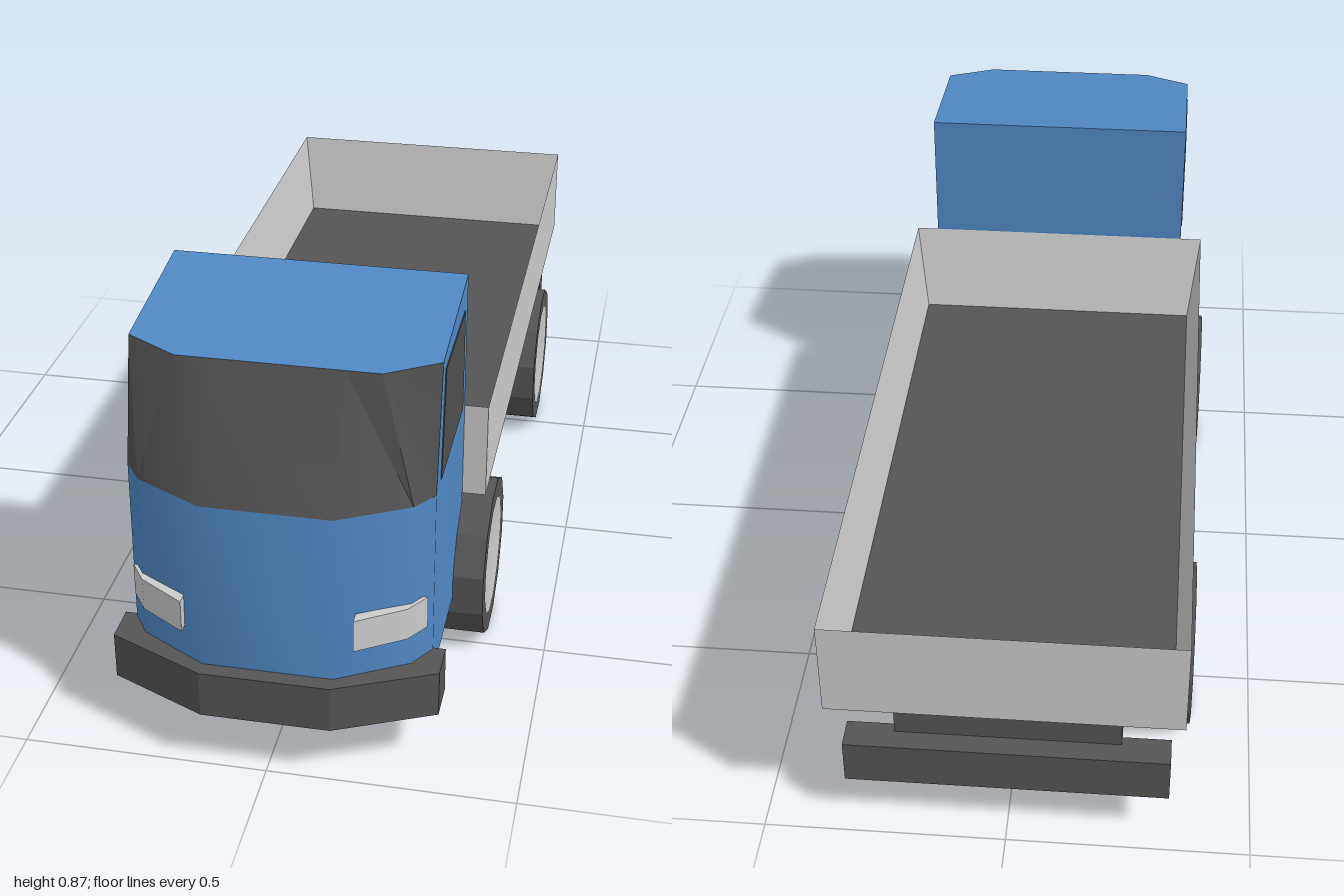
import * as THREE from 'three';
import { toCreasedNormals } from 'three/addons/utils/BufferGeometryUtils.js';

const paint = (color) => new THREE.MeshStandardMaterial({ color });
const blue = paint(0x5088c4), dark = paint(0x555555), glass = paint(0x505050), grey = paint(0xcccccc);

// Geometry from a list of triangles, with soft edges below the crease angle.
function fromTriangles(tris, crease = 0.7) {
  const g = new THREE.BufferGeometry();
  g.setAttribute('position', new THREE.Float32BufferAttribute(tris.flat(2), 3));
  return toCreasedNormals(g, crease);
}

// Wall between two rings; skip(i) leaves out a segment.
function wall(low, high, keep = () => true) {
  const tris = [];
  low.forEach((a, i) => {
    const j = (i + 1) % low.length;
    if (keep(i)) tris.push([a, low[j], high[i]], [low[j], high[j], high[i]]);
  });
  return tris;
}

// Fan cap facing up; flip it to face down.
function cap(ring, flip = false) {
  const tris = [];
  for (let i = 1; i < ring.length - 1; i++) {
    tris.push(flip ? [ring[0], ring[i + 1], ring[i]] : [ring[0], ring[i], ring[i + 1]]);
  }
  return tris;
}

// Full plan outline from its +x half, listed front to back; y is a number or a rule of z.
function ring(half, y) {
  const at = typeof y === 'function' ? y : () => y;
  const left = half.map(([x, z]) => [x, at(z), z]);
  const right = [...half].reverse().map(([x, z]) => [-x, at(z), z]);
  return [...right, ...left];
}

function add(parent, name, geometry, material, x = 0, y = 0, z = 0) {
  const mesh = new THREE.Mesh(geometry, material);
  mesh.name = name;
  mesh.position.set(x, y, z);
  parent.add(mesh);
  return mesh;
}

// Upright prism from a plan outline.
function prism(outline, y0, y1, crease = 0.3) {
  const low = outline.map(([x, z]) => [x, y0, z]);
  const high = outline.map(([x, z]) => [x, y1, z]);
  return fromTriangles([...wall(low, high), ...cap(high), ...cap(low, true)], crease);
}

function createCab() {
  const cab = new THREE.Group();
  cab.name = 'cab';
  const base = ring([[0.13, 0.97], [0.27, 0.89], [0.305, 0.835], [0.305, 0.455]], 0.16);
  const belt = ring([[0.13, 0.955], [0.27, 0.88], [0.305, 0.83], [0.305, 0.455]], 0.575);
  const roof = ring([[0.13, 0.83], [0.2, 0.83], [0.305, 0.775], [0.305, 0.455]],
    (z) => 0.825 + (0.83 - z) * 0.107);
  const isGlass = (i) => i >= 1 && i <= 5;

  add(cab, 'cabBody', fromTriangles([...wall(base, belt), ...cap(base, true)]), blue);
  add(cab, 'cabTop', fromTriangles([...wall(belt, roof, (i) => !isGlass(i)), ...cap(roof)]), blue);
  add(cab, 'windscreen', fromTriangles(wall(belt, roof, isGlass), 0.5), glass);

  // Side windows, a thin pane on each door
  const pane = new THREE.Shape([[0.78, 0.58], [0.745, 0.803], [0.495, 0.803], [0.495, 0.58]]
    .map(([z, y]) => new THREE.Vector2(-z, y)));
  const paneGeometry = new THREE.ExtrudeGeometry(pane, { depth: 0.006, bevelEnabled: false });
  paneGeometry.rotateY(Math.PI / 2);
  for (const side of [-1, 1]) {
    add(cab, side > 0 ? 'leftWindow' : 'rightWindow', paneGeometry, glass, side * 0.304 - 0.003);
  }

  // Headlights wrapping round the front corners
  const lamp = [[0.17, 0.966], [0.265, 0.906], [0.297, 0.858], [0.25, 0.86], [0.17, 0.92]];
  add(cab, 'leftHeadlight', prism(lamp, 0.29, 0.36, 0.7), grey);
  add(cab, 'rightHeadlight', prism(lamp.map(([x, z]) => [-x, z]).reverse(), 0.29, 0.36, 0.7), grey);

  const bumper = ring([[0.13, 1], [0.33, 0.91], [0.33, 0.83]], 0).map(([x, , z]) => [x, z]);
  add(cab, 'frontBumper', prism(bumper, 0.12, 0.22), dark);
  return cab;
}

function createBed() {
  const bed = new THREE.Group();
  bed.name = 'loadBed';
  const rect = (x, z0, z1, y) => ring([[x, z0], [x, z1]], y);
  const bottom = rect(0.355, 0.455, -1, 0.352);
  const rim = rect(0.355, 0.455, -1, 0.565);
  const floor = rect(0.33, 0.41, -0.965, 0.365);
  const inner = wall(floor, rim).map(([a, b, c]) => [a, c, b]);
  add(bed, 'bedWalls', fromTriangles([...wall(bottom, rim), ...inner]), grey);
  add(bed, 'bedFloor', fromTriangles(cap(floor)), dark);
  add(bed, 'bedUnderside', fromTriangles(cap(bottom, true)), dark);
  return bed;
}

// Wheel with its outer face towards +x, a dark tyre and a shallow dished hub
function createWheel(name) {
  const wheel = new THREE.Group();
  wheel.name = name;
  const lathe = (points) => {
    const g = new THREE.LatheGeometry(points.map(([r, y]) => new THREE.Vector2(r, y)), 12, Math.PI / 12);
    return toCreasedNormals(g.rotateZ(-Math.PI / 2), 0.3);
  };
  add(wheel, 'tyre', lathe([[0, -0.06], [0.174, -0.06], [0.174, 0.06], [0.13, 0.06]]), dark);
  add(wheel, 'hub', lathe([[0.13, 0.06], [0, 0.045]]), grey);
  return wheel;
}

export function createModel() {
  const truck = new THREE.Group();
  truck.name = 'flatbedTruck';
  truck.add(createCab(), createBed());

  // Frame and rear bumper
  add(truck, 'chassis', new THREE.BoxGeometry(0.46, 0.194, 1.385), dark, 0, 0.257, -0.2325);
  add(truck, 'rearBumper', new THREE.BoxGeometry(0.66, 0.1, 0.065), dark, 0, 0.17, -0.937);

  // Four wheels
  for (const [end, z] of [['front', 0.4], ['rear', -0.567]]) {
    for (const side of [-1, 1]) {
      const wheel = createWheel(end + (side > 0 ? 'Left' : 'Right') + 'Wheel');
      wheel.position.set(side * 0.31, 0.168, z);
      if (side < 0) wheel.rotation.y = Math.PI;
      truck.add(wheel);
    }
  }
  return truck;
}
